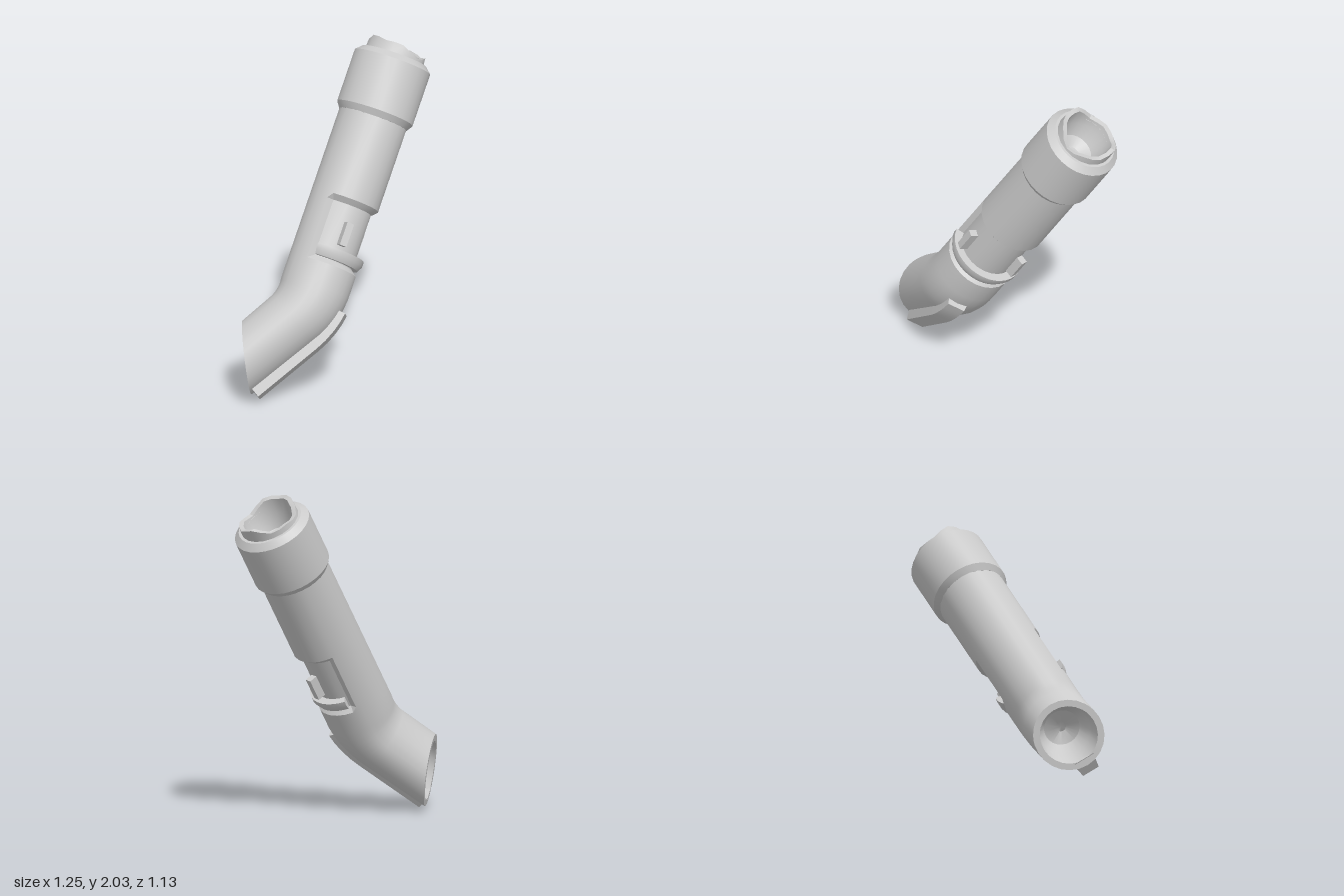
import * as THREE from 'three';
import { toCreasedNormals } from 'three/addons/utils/BufferGeometryUtils.js';

const { cos, sin, PI } = Math;
const rad = (deg) => deg * PI / 180;
const material = new THREE.MeshStandardMaterial({ color: 0xcccccc });

// Skin a row of closed rings, optionally capping both ends
function loft(rings, capStart = true, capEnd = true) {
  const n = rings[0].length, pos = [], idx = [];
  rings.forEach((r) => r.forEach((p) => pos.push(p.x, p.y, p.z)));
  for (let i = 0; i < rings.length - 1; i++) {
    for (let j = 0; j < n; j++) {
      const k = (j + 1) % n, a = i * n + j, b = i * n + k;
      idx.push(a, a + n, b, b, a + n, b + n);
    }
  }
  const cap = (i, flip) => {
    const c = new THREE.Vector3();
    rings[i].forEach((p) => c.addScaledVector(p, 1 / n));
    const ci = pos.length / 3;
    pos.push(c.x, c.y, c.z);
    for (let j = 0; j < n; j++) {
      const a = i * n + j, b = i * n + (j + 1) % n;
      idx.push(ci, flip ? b : a, flip ? a : b);
    }
  };
  if (capStart) cap(0, false);
  if (capEnd) cap(rings.length - 1, true);
  const g = new THREE.BufferGeometry();
  g.setAttribute('position', new THREE.Float32BufferAttribute(pos, 3));
  g.setIndex(idx);
  return toCreasedNormals(g, rad(30));
}

// Pipe centre line: straight, then an elbow; d is the distance below the elbow's start
const BEND_Y = -0.48, BEND_R = 0.42, BEND = rad(32), END = 0.594;
function pathPoint(d, out, side) {
  const f = Math.min(Math.max(d / BEND_R, 0), BEND);
  const rest = d - f * BEND_R;
  return new THREE.Vector3(
    -BEND_R * (1 - cos(f)) - rest * sin(f) + out * cos(f),
    BEND_Y - BEND_R * sin(f) - rest * cos(f) - out * sin(f),
    side);
}

// Angles round the pipe, with exact ones at the recess edges
const RECESS_OUT = 112, RECESS_IN = 104;
const angles = [-RECESS_OUT, -RECESS_IN, RECESS_IN, RECESS_OUT];
for (let a = -180; a < 180; a += 15) {
  if (Math.abs(Math.abs(a) - 108) > 6) angles.push(a);
}
angles.sort((a, b) => a - b);

function pipeRing(d, rx, rz, slope = 0, recessed = false) {
  return angles.map((deg) => {
    const s = recessed && Math.abs(deg) <= RECESS_IN ? 0.18 / 0.215 : 1;
    const x = rx * s * cos(rad(deg));
    return pathPoint(d + slope * x, x, rz * s * sin(rad(deg)));
  });
}

function buildPipe() {
  const R = 0.215, rings = [
    // Hollow inside the open end
    pipeRing(0.33, 0.03, 0.03), pipeRing(0.36, 0.1, 0.11, 0.2),
    pipeRing(0.45, 0.135, 0.155, 0.55), pipeRing(END, 0.155, 0.175, 0.65),
    // Slanted rim and outside of the elbow
    pipeRing(END, 0.19, 0.215, 0.65),
  ];
  for (let k = 5; k >= 0; k--) rings.push(pipeRing(BEND * BEND_R * k / 5, R - 0.004 * k, R));
  // Straight part with the recess
  const at = (y, recessed) => rings.push(pipeRing(BEND_Y - y, R, R, 0, recessed));
  at(-0.335, false);
  at(-0.305, true);
  at(0.05, true);
  at(0.085, false);
  at(0.64, false);
  return loft(rings);
}

// Uneven mouth with a bowl inside
function buildMouth() {
  const n = 20;
  const ring = (y, r, wave) => Array.from({ length: n }, (_, j) => {
    const a = j / n * 2 * PI;
    const h = 0.024 * cos(2 * (a - rad(116))) + 0.012 * cos(5 * a);
    return new THREE.Vector3(r * cos(a), y + wave * h, r * sin(a));
  });
  return loft([
    ring(1.0, 0.187, 0), ring(1.065, 0.183, 1), ring(1.06, 0.155, 1),
    ring(0.97, 0.145, 0), ring(0.89, 0.11, 0), ring(0.85, 0.05, 0),
  ], false, true);
}

function buildCollar() {
  const profile = [[0.2, 0.605], [0.215, 0.61], [0.242, 0.65], [0.242, 0.98], [0.203, 1.017], [0.15, 1.017]];
  const g = new THREE.LatheGeometry(profile.map(([x, y]) => new THREE.Vector2(x, y)), 28);
  g.deleteAttribute('normal');
  g.deleteAttribute('uv');
  return toCreasedNormals(g, rad(30));
}

// Ledge running part of the way round the recess
function buildFlange() {
  const profile = [[0.17, -0.232], [0.23, -0.232], [0.23, -0.265], [0.212, -0.3], [0.17, -0.3]];
  const rings = [];
  for (let a = -100; a <= 100; a += 10) {
    rings.push(profile.map(([r, y]) => new THREE.Vector3(r * cos(rad(a)), y, r * sin(rad(a)))));
  }
  return loft(rings);
}

// Rail along the outer side of the elbow
function buildRail() {
  const section = [[0.15, 0.068], [0.24, 0.055], [0.24, -0.055], [0.15, -0.068]];
  const stops = [0.06, 0.1, 0.14, 0.19, 0.235, END + 0.1];
  return loft(stops.map((d) => section.map(([o, s]) => pathPoint(d, o, s))));
}

export function createModel() {
  const model = new THREE.Group();
  model.name = 'bentPipe';
  const body = new THREE.Group();
  body.name = 'tiltedBody';
  model.add(body);

  const add = (name, geometry) => {
    const mesh = new THREE.Mesh(geometry, material);
    mesh.name = name;
    body.add(mesh);
    return mesh;
  };
  add('pipe', buildPipe());
  add('collar', buildCollar());
  add('mouth', buildMouth());
  add('flange', buildFlange());
  add('elbowRail', buildRail());

  // Two small keys in the recess
  for (const [name, deg] of [['frontKey', 62], ['backKey', -52]]) {
    const key = add(name, new THREE.BoxGeometry(0.07, 0.145, 0.045));
    key.position.set(0.195 * cos(rad(deg)), -0.13, 0.195 * sin(rad(deg)));
    key.rotation.y = -rad(deg);
  }

  // Lean the body: local y is the pipe axis, local x the outside of the elbow
  const y = new THREE.Vector3(0.377, 0.838, -0.394).normalize();
  const z = new THREE.Vector3(0.9, -0.24, 0.355).cross(y).normalize();
  const x = new THREE.Vector3().crossVectors(y, z);
  body.quaternion.setFromRotationMatrix(new THREE.Matrix4().makeBasis(x, y, z));
  body.position.set(0.016, 1.0, 0.05);
  return model;
}
